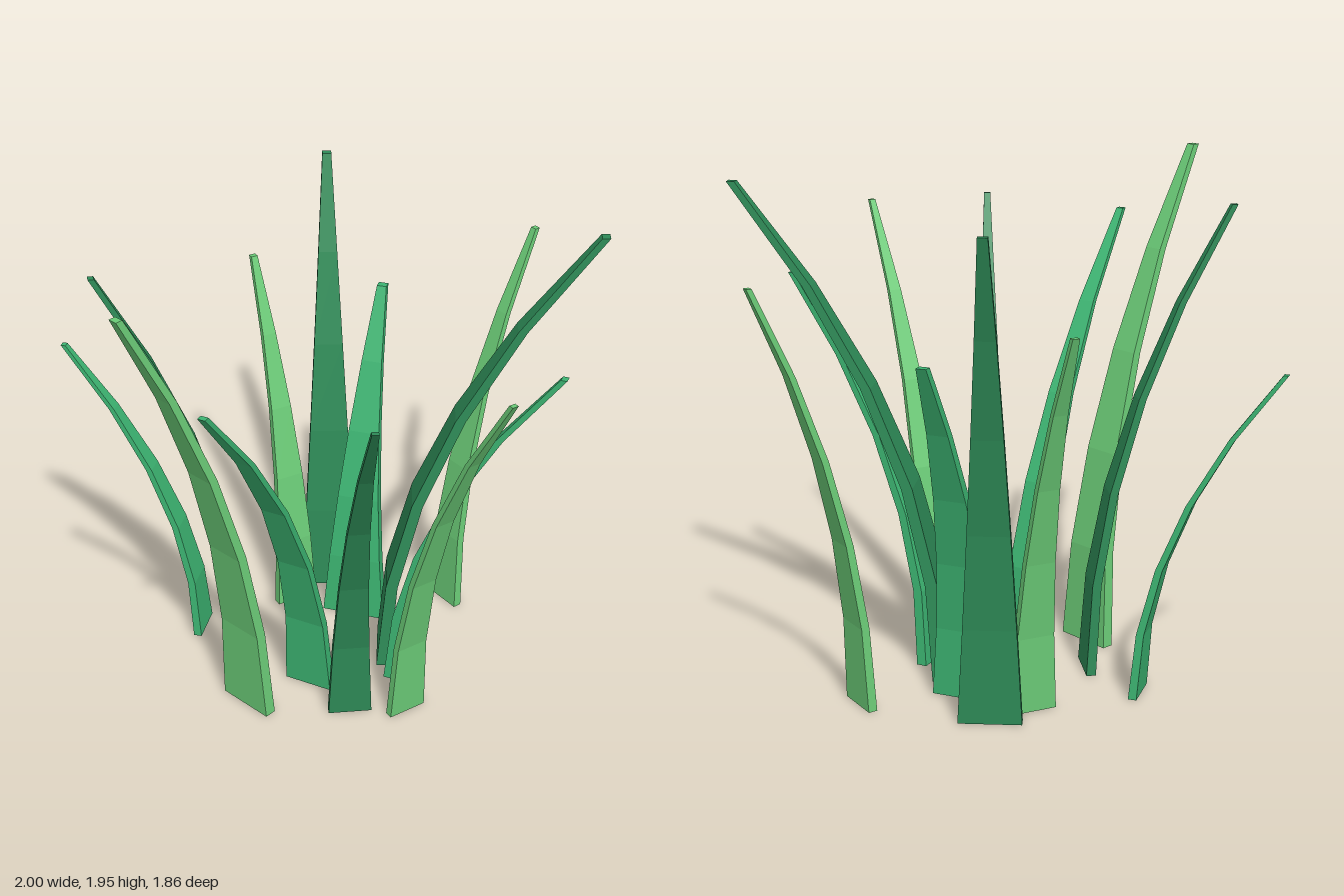
import * as THREE from 'three';

const DARK = 0x2e8b57, MID = 0x3cb371, LIGHT = 0x6bcb77;

// One row per blade: base x, base z, tip x, tip z, height, base width, color
const BLADES = [
  [-0.505, -0.35, -0.985, -0.535, 1.285, 0.16, MID],
  [-0.335, -0.107, -0.86, -0.06, 1.81, 0.185, DARK],
  [-0.36, 0.17, -0.785, 0.515, 1.95, 0.235, LIGHT],
  [-0.105, 0.077, -0.525, 0.70, 1.665, 0.197, MID],
  [0.028, 0.273, 0.012, 0.915, 1.695, 0.17, DARK],
  [0.247, 0.297, 0.49, 0.80, 1.69, 0.16, LIGHT],
  [0.26, 0.017, 0.79, 0.325, 1.49, 0.20, MID],
  [0.222, -0.104, 0.985, 0.03, 1.895, 0.255, DARK],
  [0.535, -0.408, 0.885, -0.605, 1.63, 0.175, LIGHT],
  [0.14, -0.36, 0.295, -0.70, 1.37, 0.26, MID],
  [0.063, -0.587, 0.098, -0.915, 1.86, 0.237, DARK],
  [-0.097, -0.49, -0.215, -0.79, 1.49, 0.178, LIGHT],
];

// Tapered strip that bends towards +z with the square of its height
function bladeGeometry(height, width, lean) {
  const geo = new THREE.BoxGeometry(width, height, width * 0.2, 1, 5, 1);
  geo.translate(0, height / 2, 0);
  const p = geo.attributes.position;
  for (let i = 0; i < p.count; i++) {
    const t = p.getY(i) / height;
    p.setX(i, p.getX(i) * (1 - 0.85 * t));
    p.setZ(i, p.getZ(i) * (1 - 0.4 * t) + lean * t * t);
  }
  geo.computeVertexNormals();
  return geo;
}

export function createModel() {
  const group = new THREE.Group();
  group.name = 'grassTuft';
  const materials = {};
  for (const color of [DARK, MID, LIGHT]) {
    materials[color] = new THREE.MeshStandardMaterial({ color, flatShading: true });
  }
  BLADES.forEach(([x, z, tipX, tipZ, height, width, color], i) => {
    const dx = tipX - x, dz = tipZ - z;
    const blade = new THREE.Mesh(bladeGeometry(height, width, Math.hypot(dx, dz)), materials[color]);
    blade.name = `grassBlade${i + 1}`;
    blade.position.set(x, 0, z);
    blade.rotation.y = Math.atan2(dx, dz); // lean outwards
    group.add(blade);
  });
  return group;
}
